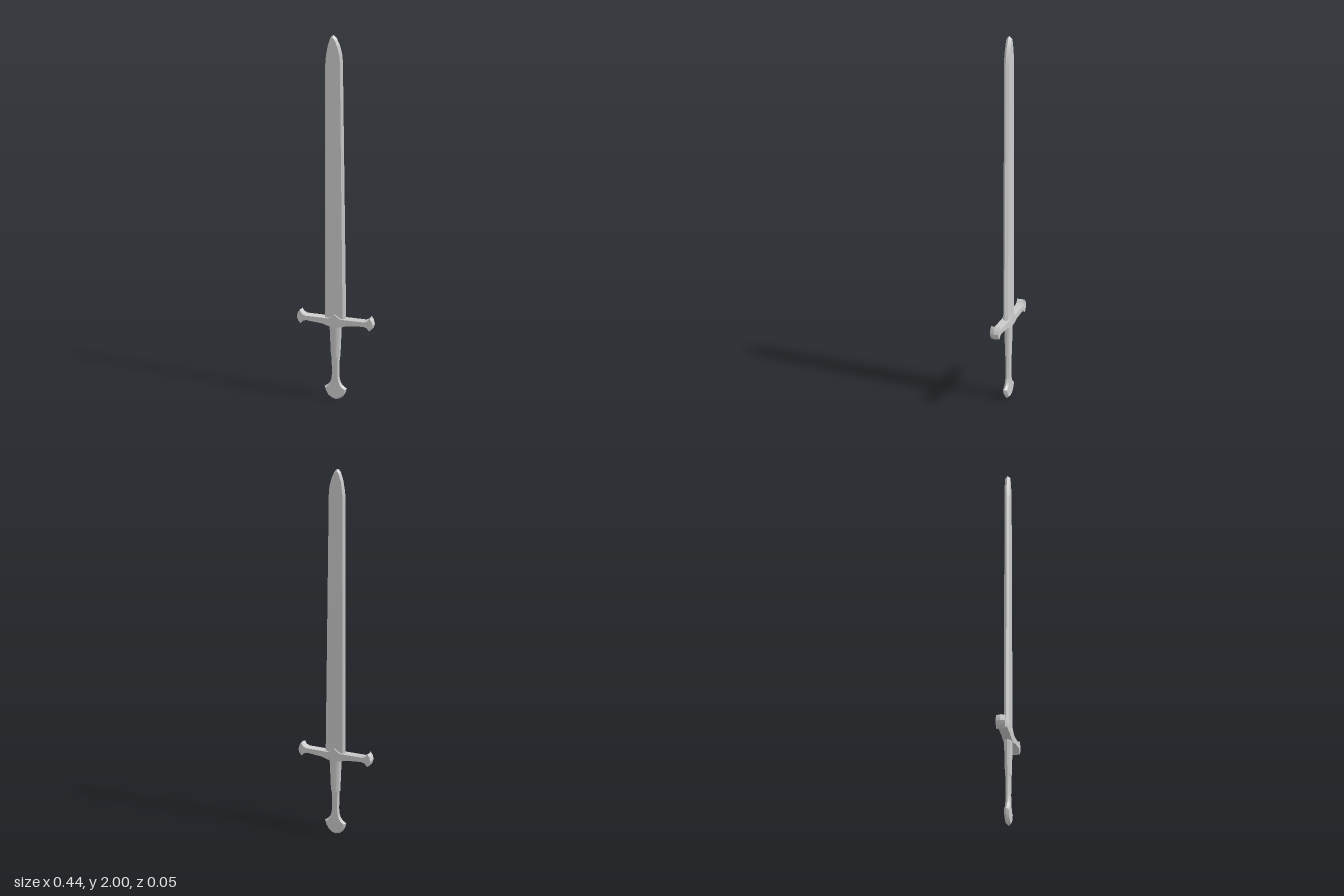
import * as THREE from 'three';
import { toCreasedNormals } from 'three/addons/utils/BufferGeometryUtils.js';

const material = new THREE.MeshStandardMaterial({ color: 0xcccccc });

// Plate with a ridge all round: outer outline at z = 0, inner outline at z = +-h.
// Both outlines run counter-clockwise and match point for point.
function ridgedPlate(name, outer, inner, h) {
  const n = outer.length;
  const positions = [];
  for (const [outline, z] of [[inner, h], [outer, 0], [inner, -h]]) {
    for (const [x, y] of outline) positions.push(x, y, z);
  }
  const index = [];
  for (let row = 0; row < 2; row++) {
    for (let i = 0; i < n; i++) {
      const j = (i + 1) % n;
      const a = row * n + i, b = row * n + j;
      index.push(a, a + n, b, b, a + n, b + n);
    }
  }
  const contour = inner.map(([x, y]) => new THREE.Vector2(x, y));
  for (const [a, b, c] of THREE.ShapeUtils.triangulateShape(contour, [])) {
    index.push(a, b, c, 2 * n + a, 2 * n + c, 2 * n + b);
  }
  const geometry = new THREE.BufferGeometry();
  geometry.setAttribute('position', new THREE.Float32BufferAttribute(positions, 3));
  geometry.setIndex(index);
  const mesh = new THREE.Mesh(toCreasedNormals(geometry, 0.45), material);
  mesh.name = name;
  return mesh;
}

// Full outline from its right half, listed bottom to top, with x = 0 points kept single
function mirrored(half) {
  const left = half.filter(([x]) => x > 0).reverse().map(([x, y]) => [-x, y]);
  return [...half, ...left];
}

export function createModel() {
  const sword = new THREE.Group();
  sword.name = 'sword';

  // Blade: slightly uneven taper, bevelled edges and a rounded point
  const bladeOuter = [
    [-0.059, 0.47], [0.059, 0.47], [0.038, 1.87], [0.034, 1.91], [0.022, 1.952], [0.006, 1.985],
    [-0.004, 1.996], [-0.012, 2], [-0.02, 1.996], [-0.029, 1.983], [-0.042, 1.945], [-0.051, 1.895], [-0.055, 1.85],
  ];
  const bladeInner = [
    [-0.047, 0.47], [0.043, 0.47], [0.026, 1.865], [0.023, 1.9], [0.013, 1.94], [0, 1.973],
    [-0.006, 1.984], [-0.012, 1.988], [-0.018, 1.984], [-0.024, 1.971], [-0.034, 1.936], [-0.041, 1.89], [-0.044, 1.85],
  ];
  sword.add(ridgedPlate('blade', bladeOuter, bladeInner, 0.0135));

  // Crossguard: peaked middle, thin arms, flared ends with a ridged face
  const guard = mirrored([
    [0, 0.433], [0.035, 0.438], [0.07, 0.449], [0.16, 0.457], [0.178, 0.451], [0.198, 0.434], [0.212, 0.45],
    [0.218, 0.47], [0.213, 0.489], [0.2, 0.507], [0.182, 0.49], [0.165, 0.482], [0.035, 0.482],
    [0.018, 0.491], [0, 0.506],
  ]);
  const guardInner = guard.map(([x, y]) => (Math.abs(x) > 0.19 ? [x * 0.965, y] : [x, y]));
  sword.add(ridgedPlate('crossguard', guard, guardInner, 0.023));

  // Grip: tapered oval handle
  const gripShape = new THREE.CylinderGeometry(0.035, 0.027, 0.19, 16);
  gripShape.scale(1, 1, 0.62);
  const grip = new THREE.Mesh(toCreasedNormals(gripShape, 0.6), material);
  grip.name = 'grip';
  grip.position.y = 0.352;
  sword.add(grip);

  // Pommel: flat neck flaring into a rounded fan
  const pommelHalf = [
    [0, 0], [0.022, 0.005], [0.042, 0.021], [0.056, 0.045], [0.064, 0.072],
    [0.045, 0.084], [0.031, 0.101], [0.024, 0.125], [0.021, 0.155], [0.024, 0.27],
  ];
  const pommelInnerHalf = [
    [0, 0.012], [0.02, 0.017], [0.037, 0.031], [0.048, 0.05], [0.053, 0.068],
    [0.037, 0.077], [0.023, 0.097], [0.016, 0.122], [0.013, 0.155], [0.016, 0.27],
  ];
  sword.add(ridgedPlate('pommel', mirrored(pommelHalf), mirrored(pommelInnerHalf), 0.012));

  return sword;
}
